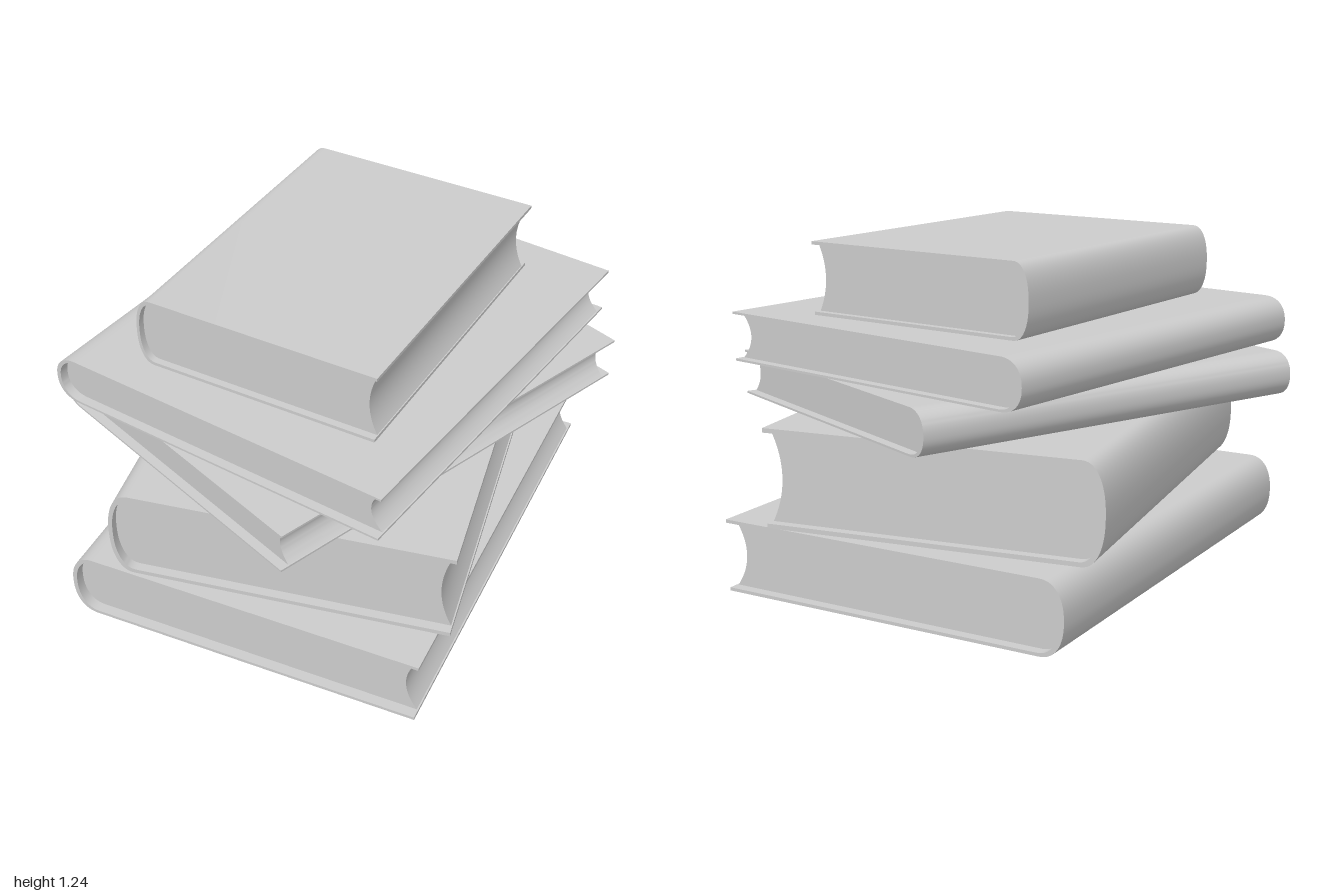
import * as THREE from 'three';
import { toCreasedNormals } from 'three/addons/utils/BufferGeometryUtils.js';

const material = new THREE.MeshStandardMaterial({ color: 0xcccccc });

// Rounded spine outline from the top edge round to the bottom edge.
function spineArc(left, depth, midY, halfH, n = 28) {
  const points = [];
  for (let i = 0; i <= n; i++) {
    const a = Math.PI / 2 - (i / n) * Math.PI;
    const c = Math.pow(Math.max(Math.cos(a), 0), 0.88);
    const s = Math.sign(Math.sin(a)) * Math.pow(Math.abs(Math.sin(a)), 0.88);
    points.push(new THREE.Vector2(left + depth * (1 - c), midY + halfH * s));
  }
  return points;
}

// Extrudes an outline along z, centred, with smooth curves and sharp edges.
function slab(points, depth, name) {
  const geometry = new THREE.ExtrudeGeometry(new THREE.Shape(points), { depth, bevelEnabled: false });
  geometry.translate(0, 0, -depth / 2);
  const mesh = new THREE.Mesh(toCreasedNormals(geometry, 0.6), material);
  mesh.name = name;
  return mesh;
}

function makeBook(width, height, depth) {
  const book = new THREE.Group();
  const left = -width / 2, right = width / 2;
  const board = 0.045 * height;   // cover thickness
  const spine = 0.012 * width;    // spine thickness
  const round = 0.068 * width;    // depth of the spine curve
  const mid = height / 2;
  const v = (x, y) => new THREE.Vector2(x, y);

  // Cover: one C-shaped wrap, the upper board slightly longer
  const outer = spineArc(left, round, mid, mid);
  const inner = spineArc(left + spine, round - spine * 0.5, mid, mid - board);
  const lowerEnd = right - 0.007 * width;
  book.add(slab([
    v(right, height), ...outer, v(lowerEnd, 0), v(lowerEnd, board),
    ...inner.slice().reverse(), v(right, height - board),
  ], depth, 'cover'));

  // Pages: follow the spine, with a hollowed fore edge
  const tip = right - 0.011 * width, hollow = 0.032 * width;
  const foreEdge = [];
  for (let i = 0; i <= 20; i++) {
    const t = -1 + i / 10;
    foreEdge.push(v(tip - hollow * (1 - t * t), mid + t * (mid - board)));
  }
  book.add(slab([...inner, ...foreEdge], depth * 0.956, 'pages'));
  return book;
}

export function createModel() {
  const model = new THREE.Group();
  model.name = 'bookStack';
  // width, height, depth, turn in degrees, x, z (bottom to top)
  const books = [
    [1.37, 0.265, 1.78, 0, -0.004, 0],
    [1.254, 0.36, 1.622, 8.4, -0.006, -0.004],
    [1.254, 0.165, 1.622, -24.5, -0.003, -0.002],
    [1.37, 0.18, 1.57, -10.2, -0.004, -0.005],
    [0.938, 0.265, 1.205, -5.1, -0.006, -0.003],
  ];
  let y = 0;
  books.forEach(([w, h, d, turn, x, z], i) => {
    const book = makeBook(w, h, d);
    book.name = `book${i + 1}`;
    book.position.set(x, y, z);
    book.rotation.y = THREE.MathUtils.degToRad(turn);
    model.add(book);
    y += h;
  });
  return model;
}
